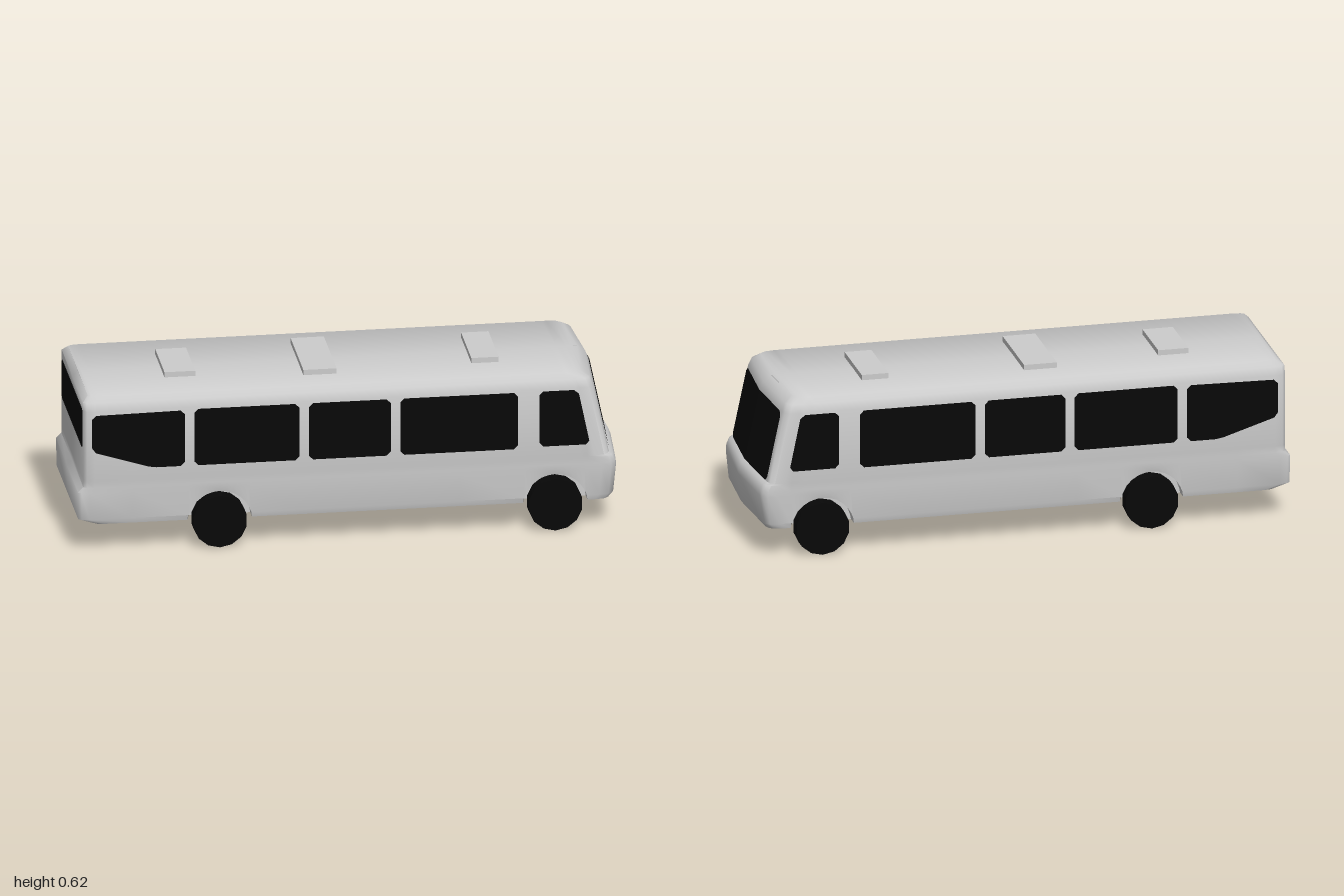
import * as THREE from 'three';
import { toCreasedNormals } from 'three/addons/utils/BufferGeometryUtils.js';

const WHEELS = [-0.48, 0.75];
const ARCH = 0.118;

// End outlines as [height, x]
const FRONT = [[0.11, 0.97], [0.13, 0.985], [0.235, 0.995], [0.255, 0.993], [0.278, 0.983], [0.285, 0.968], [0.55, 0.912], [0.58, 0.9], [0.6, 0.87]];
const REAR = [[0.11, -0.94], [0.13, -0.998], [0.235, -1], [0.255, -0.98], [0.58, -0.98], [0.6, -0.96]];

function lookup(table, y) {
  if (y <= table[0][0]) return table[0][1];
  for (let i = 1; i < table.length; i++) {
    const [y0, x0] = table[i - 1], [y1, x1] = table[i];
    if (y <= y1) return x0 + (x1 - x0) * (y - y0) / (y1 - y0);
  }
  return table[table.length - 1][1];
}

// Height of the wheel arch at a given length
function archHeight(x) {
  let h = 0.11;
  for (const w of WHEELS) {
    const d = ARCH * ARCH - (x - w) ** 2;
    if (d > 0) h = Math.max(h, 0.1 + Math.sqrt(d));
  }
  return h;
}

// Closed cross-section as [z, y], with a step for the wheel wells
function section(arch) {
  const half = [[0, 0.11], [0.243, 0.11], [0.243, arch], [0.288, arch], [0.294, Math.max(0.13, arch)],
    [0.298, 0.235], [0.299, 0.255], [0.299, 0.278], [0.3, 0.285], [0.3, 0.55], [0.29, 0.58], [0.268, 0.6], [0, 0.602]];
  return [...half, ...half.slice(1, -1).reverse().map(([z, y]) => [-z, y])];
}

function bodyGeometry() {
  const rings = [];
  const endRing = (table, inset, scale) =>
    rings.push(section(0.11).map(([z, y]) => [lookup(table, y) + inset, y, z * scale]));

  // Rounded rear end
  endRing(REAR, 0, 0);
  endRing(REAR, 0, 0.95);
  endRing(REAR, 0.012, 0.985);
  endRing(REAR, 0.04, 1);

  // Straight middle, with close stations around the arches
  const stations = [-0.8, -0.2, 0.1, 0.4];
  for (const w of WHEELS)
    for (let i = 0; i <= 14; i++) stations.push(w - ARCH * Math.cos(Math.PI * i / 14));
  stations.sort((a, b) => a - b);
  for (const s of stations)
    rings.push(section(archHeight(s)).map(([z, y]) => [Math.min(s, lookup(FRONT, y) - 0.075), y, z]));

  // Rounded, slightly bowed nose
  endRing(FRONT, -0.075, 1);
  endRing(FRONT, -0.04, 0.98);
  endRing(FRONT, -0.024, 0.93);
  endRing(FRONT, -0.018, 0.87);
  endRing(FRONT, 0, 0);

  const n = rings[0].length, index = [];
  for (let i = 0; i < rings.length - 1; i++)
    for (let j = 0; j < n; j++) {
      const k = (j + 1) % n, a = i * n + j, b = a + n, c = i * n + k, d = c + n;
      index.push(a, b, c, b, d, c);
    }
  const g = new THREE.BufferGeometry();
  g.setAttribute('position', new THREE.Float32BufferAttribute(rings.flat(2), 3));
  g.setIndex(index);
  return toCreasedNormals(g, 0.9);
}

// Polygon with small chamfered corners
function chamfered(points, size = 0.015) {
  const v = points.map(p => new THREE.Vector2(...p)), out = [];
  v.forEach((p, i) => {
    for (const q of [v[(i + v.length - 1) % v.length], v[(i + 1) % v.length]])
      out.push(p.clone().add(q.clone().sub(p).setLength(size)));
  });
  return new THREE.Shape(out);
}

const rect = (x0, x1, y0, y1) => [[x0, y0], [x1, y0], [x1, y1], [x0, y1]];

export function createModel() {
  const bus = new THREE.Group();
  bus.name = 'bus';
  const paint = new THREE.MeshStandardMaterial({ color: 0xcccccc });
  const black = new THREE.MeshStandardMaterial({ color: 0x080808 });
  const glass = new THREE.MeshStandardMaterial({ color: 0x080808, side: THREE.DoubleSide });
  const add = (name, geometry, material, x = 0, y = 0, z = 0) => {
    const m = new THREE.Mesh(geometry, material);
    m.name = name;
    m.position.set(x, y, z);
    bus.add(m);
    return m;
  };

  add('body', bodyGeometry(), paint);

  // Side windows
  const windows = [
    [[-0.95, 0.395], [-0.73, 0.325], [-0.61, 0.325], [-0.61, 0.54], [-0.95, 0.535]],
    rect(-0.575, -0.19, 0.325, 0.543),
    rect(-0.155, 0.145, 0.325, 0.543),
    rect(0.18, 0.612, 0.325, 0.543),
    [[0.69, 0.33], [0.876, 0.33], [0.832, 0.543], [0.69, 0.543]]
  ];
  for (const outline of windows) {
    const g = new THREE.ExtrudeGeometry(chamfered(outline), { depth: 0.01, bevelEnabled: false });
    add('leftWindow', g, black, 0, 0, 0.2915);
    add('rightWindow', g, black, 0, 0, -0.3015);
  }

  // Windscreen, two panes meeting at the centre
  for (const side of [1, -1]) {
    const pane = new THREE.Shape([[0, 0.287], [0.245, 0.287], [0.26, 0.302], [0.26, 0.535], [0.242, 0.549], [0, 0.549]]
      .map(p => new THREE.Vector2(...p)));
    const g = new THREE.ShapeGeometry(pane);
    const p = g.attributes.position;
    for (let i = 0; i < p.count; i++) {
      const z = p.getX(i), y = p.getY(i);
      p.setXYZ(i, lookup(FRONT, y) - 0.018 * z / 0.26 + 0.003, y, z * side);
    }
    if (side === 1) g.setIndex([...g.index.array].reverse());
    g.computeVertexNormals();
    add('windscreenPane', g, glass);
  }

  // Rear window
  const rear = new THREE.ExtrudeGeometry(chamfered(rect(-0.27, 0.27, 0.4, 0.548)), { depth: 0.01, bevelEnabled: false });
  add('rearWindow', rear, black, -0.972, 0, 0).rotation.y = -Math.PI / 2;

  // Wheels
  const wheel = new THREE.CylinderGeometry(0.1, 0.1, 0.052, 14).rotateX(Math.PI / 2);
  for (const x of WHEELS)
    for (const z of [0.271, -0.271]) add('wheel', wheel, black, x, 0.1, z);

  // Roof vents: x centre, length, z centre, width
  for (const [x, l, z, w] of [[-0.602, 0.113, -0.004, 0.24], [-0.095, 0.122, -0.002, 0.33], [0.515, 0.1, -0.004, 0.264]])
    add('roofVent', new THREE.BoxGeometry(l, 0.03, w), paint, x, 0.606, z);

  return bus;
}
